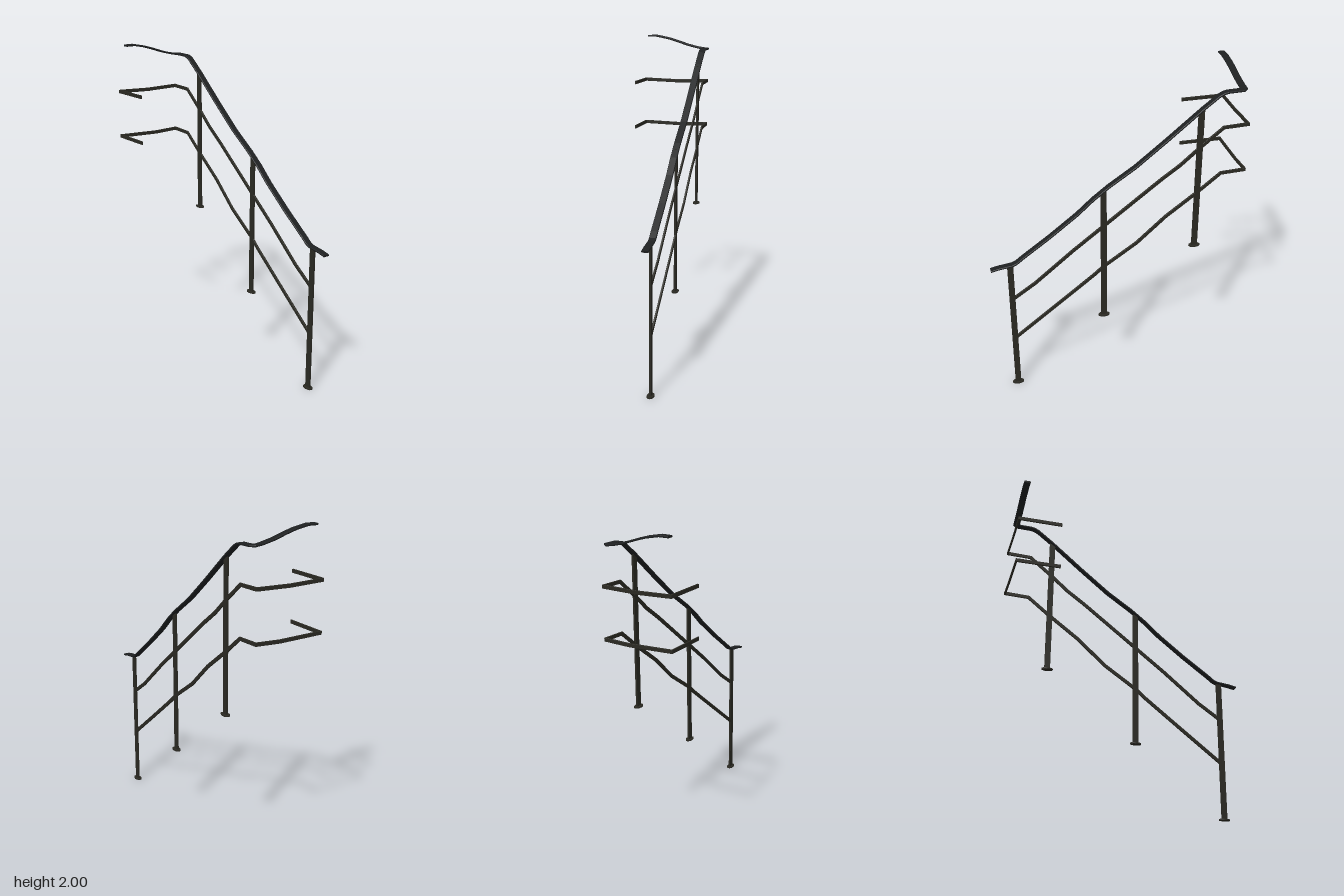
import * as THREE from 'three';

const UP = new THREE.Vector3(0, 1, 0);
const X = 0.208; // plane of the sloping flight

// Flat-bar section with slightly eased edges, counter-clockwise.
function barSection(w, h, c) {
  const a = w / 2, b = h / 2;
  return [[-a + c, -b], [a - c, -b], [a, -b + c], [a, b - c], [a - c, b], [-a + c, b], [-a, b - c], [-a, -b + c]];
}

// Sweeps a section along a path, keeping its width level and mitring plan corners.
function sweep(path, section) {
  const pts = path.map(p => new THREE.Vector3(...p));
  const n = section.length, last = pts.length - 1;
  const verts = [], index = [];
  pts.forEach((p, i) => {
    const before = pts[i].clone().sub(pts[Math.max(i - 1, 0)]).normalize();
    const after = pts[Math.min(i + 1, last)].clone().sub(pts[i]).normalize();
    const t = before.clone().add(after).normalize();
    const side = UP.clone().cross(t).normalize();
    const normal = t.clone().cross(side);
    const edge = UP.clone().cross(i < last ? after : before).normalize();
    const mitre = 1 / Math.max(side.dot(edge), 0.5);
    for (const [u, v] of section) {
      const q = p.clone().addScaledVector(side, u * mitre).addScaledVector(normal, v);
      verts.push(q.x, q.y, q.z);
    }
  });
  for (let i = 0; i < last; i++) {
    for (let j = 0; j < n; j++) {
      const k = (j + 1) % n, a = i * n, b = a + n;
      index.push(a + j, a + k, b + k, a + j, b + k, b + j);
    }
  }
  for (let j = 1; j < n - 1; j++) {
    index.push(0, j + 1, j);
    index.push(last * n, last * n + j, last * n + j + 1);
  }
  const g = new THREE.BufferGeometry();
  g.setAttribute('position', new THREE.Float32BufferAttribute(verts, 3));
  g.setIndex(index);
  const flat = g.toNonIndexed();
  flat.computeVertexNormals();
  return flat;
}

export function createModel() {
  const group = new THREE.Group();
  const railMaterial = new THREE.MeshStandardMaterial({ color: 0x1e2021 });
  railMaterial.name = 'black handrail';
  const steelMaterial = new THREE.MeshStandardMaterial({ color: 0x2a2922 });
  steelMaterial.name = 'dark steel';

  const add = (name, geometry, material) => {
    const mesh = new THREE.Mesh(geometry, material);
    mesh.name = name;
    group.add(mesh);
    return mesh;
  };

  // Handrail: up the flight, round the corner, then across the landing.
  const slope = [
    [0.793, 0.907], [0.745, 0.917], [0.66, 0.927], [0.635, 0.938], [0.597, 0.968], [0.427, 1.09],
    [0.257, 1.222], [0.16, 1.31], [0.066, 1.383], [-0.098, 1.493], [-0.284, 1.642],
    [-0.496, 1.818], [-0.59, 1.89], [-0.615, 1.903], [-0.64, 1.909], [-0.731, 1.911],
  ].map(([z, y]) => [X, y, z]);
  const landing = [
    [0.194, 1.911], [0.15, 1.918], [0.08, 1.935], [0, 1.961], [-0.06, 1.978], [-0.14, 1.993], [-0.2, 1.992],
  ].map(([x, y]) => [x, y, -0.745]);
  add('handrail', sweep([...slope, ...landing], barSection(0.042, 0.012, 0.003)), railMaterial);

  // Infill bars: slope, then level and wrapped round three sides of the landing.
  const bars = {
    upperBar: {
      slope: [[0.67, 0.672], [0.528, 0.768], [0.289, 0.965], [0.098, 1.112], [-0.257, 1.385],
        [-0.374, 1.468], [-0.49, 1.568], [-0.634, 1.684]],
      level: 1.689, sag: [-0.01, 1.683],
    },
    lowerBar: {
      slope: [[0.67, 0.37], [0.374, 0.598], [0.16, 0.764], [0.093, 0.822], [-0.114, 0.962],
        [-0.295, 1.125], [-0.49, 1.268], [-0.634, 1.382]],
      level: 1.388, sag: [0.05, 1.381],
    },
  };
  for (const [name, bar] of Object.entries(bars)) {
    const path = bar.slope.map(([z, y]) => [X, y, z]);
    path.push(
      [X, bar.level, -0.788],
      [bar.sag[0], bar.sag[1], -0.788],
      [-0.228, bar.level, -0.788],
      [-0.228, bar.level, -0.515],
    );
    add(name, sweep(path, barSection(0.01, 0.022, 0.001)), steelMaterial);
  }

  // Flat posts, each on a small foot plate.
  const posts = [
    ['frontPost', 0.675, 0, 0.925],
    ['middlePost', 0.095, 0.444, 1.358],
    ['backPost', -0.49, 0.884, 1.812],
  ];
  for (const [name, z, base, top] of posts) {
    const post = add(name, new THREE.BoxGeometry(0.012, top - base, 0.036), steelMaterial);
    post.position.set(X, (base + top) / 2, z);
    const foot = add(name + 'Foot', new THREE.CylinderGeometry(1, 1, 0.008, 12), steelMaterial);
    foot.scale.set(0.022, 1, 0.037);
    foot.position.set(X, base + 0.004, z);
  }
  return group;
}
